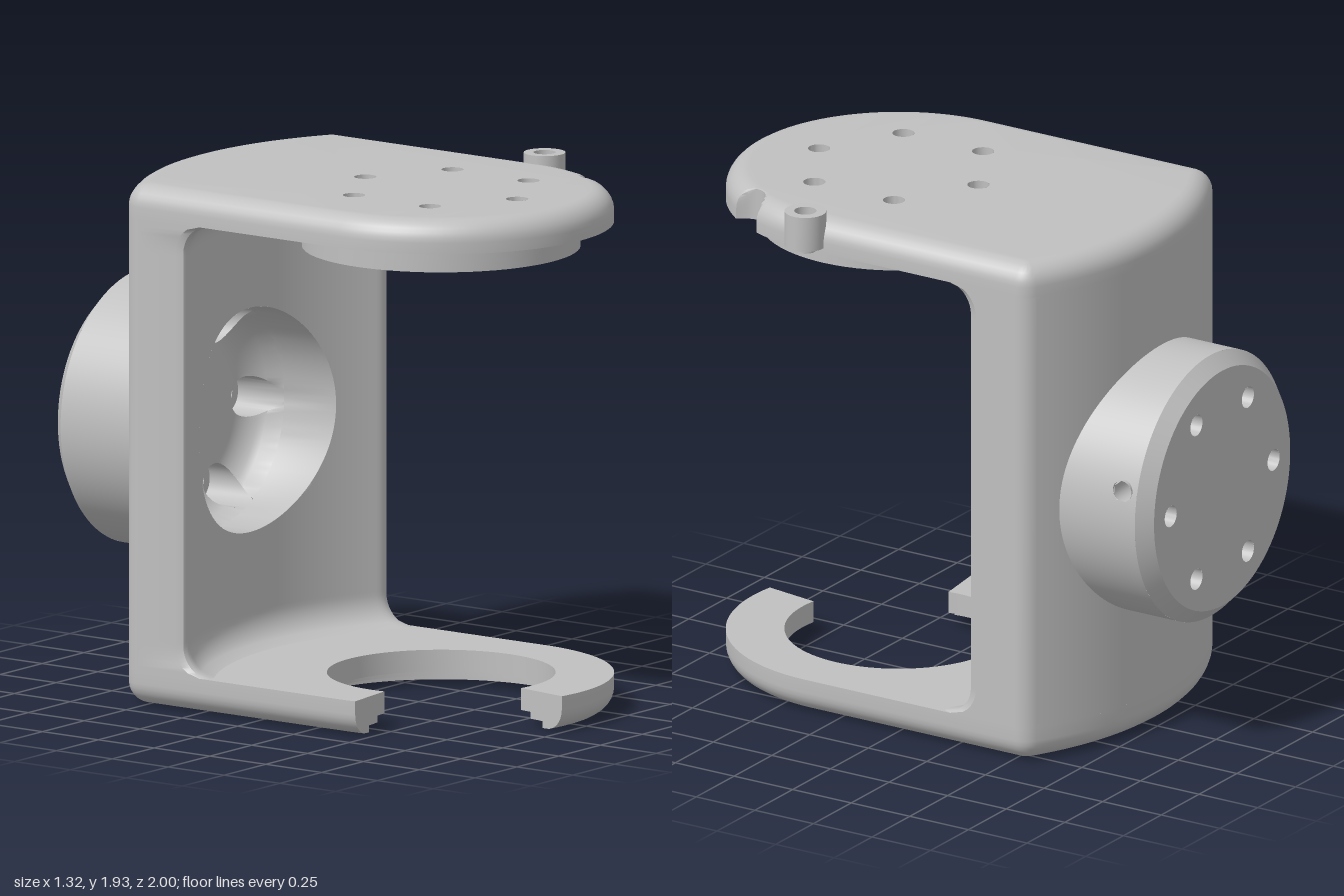
import * as THREE from 'three';
import { mergeGeometries, toCreasedNormals } from 'three/addons/utils/BufferGeometryUtils.js';

const { PI, sin, cos, sqrt, hypot, max, min, abs } = Math;
const HALF = 0.62, BACK_R = 1.125, WALL = 0.27, ROUND = 0.08, FILLET = 0.11, EDGE = 0.06;
const FLOOR_Y = 0.13, CEIL_Y = 1.78, TOP_Y = 1.9;
const BOSS_Y = 0.95, BOSS_R = 0.5, CUP_R = 0.41, CUP_FILLET = 0.13;
const CUP_Z = -1.14, SEAT_Z = -1.22, BOSS_Z = -1.38;
const GAP = [99 * PI / 180, 173 * PI / 180];

// Grid surface: plane(u,v) gives flat coordinates, round holes are cut, lift maps to 3D
function sheet(nu, nv, plane, lift, holes = []) {
  const pos = [], inside = [], index = [];
  for (let j = 0; j <= nv; j++) for (let i = 0; i <= nu; i++) {
    let [a, b] = plane(i / nu, j / nv), hit = 0;
    holes.forEach(([ha, hb, r], k) => {
      const d = hypot(a - ha, b - hb);
      if (d < r) {
        const s = r / (d || 1e-6);
        a = ha + (a - ha) * s; b = hb + (b - hb) * s; hit = k + 1;
      }
    });
    pos.push(...lift(a, b));
    inside.push(hit);
  }
  const tri = (a, b, c) => { if (!(inside[a] && inside[b] && inside[c])) index.push(a, b, c); };
  for (let j = 0; j < nv; j++) for (let i = 0; i < nu; i++) {
    const a = j * (nu + 1) + i, b = a + nu + 1;
    tri(a, a + 1, b + 1);
    tri(a, b + 1, b);
  }
  const g = new THREE.BufferGeometry();
  g.setAttribute('position', new THREE.Float32BufferAttribute(pos, 3));
  g.setIndex(index);
  g.computeVertexNormals();
  return g;
}

// Open skin through levels of { y, pts }
const loft = levels => sheet(levels[0].pts.length - 1, levels.length - 1,
  (u, v) => [Math.round(u * (levels[0].pts.length - 1)), Math.round(v * (levels.length - 1))],
  (i, j) => [levels[j].pts[i][0], levels[j].y, levels[j].pts[i][1]]);

const arc = (cx, cz, r, a, b, n) => Array.from({ length: n + 1 }, (_, k) => {
  const t = a + (b - a) * k / n;
  return [cx + r * cos(t), cz + r * sin(t)];
});

// Curved back with rounded corners, from the left side to the right side
function backEdge(inset) {
  const cx = HALF - ROUND, cz = -sqrt((BACK_R - ROUND) ** 2 - cx * cx), t = Math.atan2(cz, cx);
  return [...arc(cx, cz, ROUND - inset, 0, t, 8), ...arc(0, 0, BACK_R - inset, t, -PI - t, 40),
    ...arc(-cx, cz, ROUND - inset, -PI - t, -PI, 8)];
}
const BACK = backEdge(0), CORNER_Z = BACK[0][1], ARC_X = BACK[8][0];

// Whole plan outline, round at the front
const outline = (inset, e1, e2) => [...arc(0, 0, HALF - inset, e1, 0, 120), ...backEdge(inset),
  ...arc(0, 0, HALF - inset, PI, e2, 48)];

// Round bite in the front edge of the upper plate
const bite = pts => pts.map(([x, z]) => {
  const r = hypot(x, z), t = (Math.atan2(z, x) - 0.525) * HALF;
  if (z < 0 || abs(t) > 0.075) return [x, z];
  const s = min(1, (HALF - sqrt(0.075 ** 2 - t * t)) / r);
  return [x * s, z * s];
});

const circle = (x, y, r) => new THREE.Path().absarc(x, y, r, 0, PI * 2, true);
const sixHoles = (turn = 0) => Array.from({ length: 6 }, (_, k) =>
  [0.34 * cos(turn + k * PI / 3), 0.34 * sin(turn + k * PI / 3)]);

// Flat horizontal face from plan points
function flat(pts, y, holes = []) {
  const s = new THREE.Shape(pts.map(([x, z]) => new THREE.Vector2(x, -z)));
  s.holes = holes.map(([x, z]) => circle(x, -z, 0.04));
  return new THREE.ShapeGeometry(s, 24).rotateX(-PI / 2).translate(0, y, 0);
}

// Front surface of the back wall: hollow, rounded at its sides, blending into both plates
function wallZ(x, y) {
  const e = max(0, FILLET - min(y - FLOOR_Y, CEIL_Y - y)), s = max(0, abs(x) - HALF + EDGE);
  return WALL - sqrt(BACK_R ** 2 - x * x) + FILLET - sqrt(max(0, FILLET ** 2 - e * e))
    - EDGE + sqrt(max(0, EDGE ** 2 - s * s));
}
const cupZ = r => CUP_Z + CUP_FILLET - sqrt(max(0, CUP_FILLET ** 2 - max(0, r - CUP_R + CUP_FILLET) ** 2));

export function createModel() {
  const model = new THREE.Group();
  const grey = new THREE.MeshStandardMaterial({ color: 0xc0c0c0, side: THREE.DoubleSide });
  grey.name = 'grey';
  const body = new THREE.Group();
  body.name = 'bracket';
  body.position.set(-0.04, 0, 0.38);
  model.add(body);
  const part = (name, geos) => {
    const list = geos.map(g => {
      const n = g.index ? g.toNonIndexed() : g;
      n.deleteAttribute('uv');
      return n;
    });
    const m = new THREE.Mesh(toCreasedNormals(mergeGeometries(list), 0.6), grey);
    m.name = name;
    body.add(m);
  };
  const rounding = Array.from({ length: 8 }, (_, k) => {
    const a = k / 7 * PI / 2;
    return { inset: ROUND * (1 - cos(a)), rise: ROUND * sin(a) };
  });

  // Upper plate
  const topHoles = sixHoles(PI / 6);
  const topEdge = i => bite(outline(i, 3 * PI / 4, 3 * PI / 4));
  part('upperPlate', [
    loft([{ y: CEIL_Y, pts: topEdge(0) },
      ...rounding.map(r => ({ y: TOP_Y - ROUND + r.rise, pts: topEdge(r.inset) }))]),
    flat(topEdge(ROUND), TOP_Y, topHoles),
    flat(topEdge(0), CEIL_Y, topHoles),
    ...topHoles.map(([x, z]) => new THREE.CylinderGeometry(0.04, 0.04, 0.21, 24, 1, true).translate(x, 1.795, z)),
  ]);

  // Round pad below the upper plate
  part('mountingPad', [
    flat(arc(0, 0, 0.5, 0, 2 * PI, 72), 1.69, topHoles),
    new THREE.CylinderGeometry(0.5, 0.5, 0.09, 72, 1, true).translate(0, 1.735, 0),
  ]);

  // Lower plate: an open ring with a stepped underside
  const steps = [[0.41, 0.13], [0.41, 0.05], [0.46, 0.05], [0.46, 0.025], [0.52, 0.025], [0.52, 0]]
    .map(p => new THREE.Vector2(...p));
  const lowEdge = [{ inset: 0, y: FLOOR_Y }, ...rounding.map(r => ({ inset: r.inset, y: ROUND - r.rise }))];
  const ringFace = (inset, r, y) => flat([...outline(inset, ...GAP),
    ...arc(0, 0, r, GAP[1] - 2 * PI, GAP[0], 90)], y);
  const endShape = new THREE.Shape([...lowEdge.map(e => new THREE.Vector2(HALF - e.inset, e.y)),
    ...[...steps].reverse()]);
  part('lowerPlate', [
    loft(lowEdge.map(e => ({ y: e.y, pts: outline(e.inset, ...GAP) }))),
    ringFace(0, 0.41, FLOOR_Y),
    ringFace(ROUND, 0.52, 0),
    new THREE.LatheGeometry(steps, 90, PI / 2 - GAP[0], 2 * PI - (GAP[1] - GAP[0])),
    ...GAP.map(a => new THREE.ShapeGeometry(endShape).rotateY(-a)),
  ]);

  // Back wall with a round opening and side faces
  const wallY = v => FLOOR_Y + (CEIL_Y - FLOOR_Y) * v;
  part('backWall', [
    ...[BACK.slice(0, 9), BACK.slice(-9)].map(pts => loft([FLOOR_Y, CEIL_Y].map(y => ({ y, pts })))),
    sheet(48, 64, (u, v) => [ARC_X * (1 - 2 * u), wallY(v)], (x, y) => [x, y, -sqrt(BACK_R ** 2 - x * x)],
      [[0, BOSS_Y, CUP_R + 0.04]]),
    sheet(100, 110, (u, v) => [HALF * (2 * u - 1), wallY(v)], (x, y) => [x, y, wallZ(x, y)],
      [[0, BOSS_Y, CUP_R]]),
    ...[1, -1].map(s => sheet(1, 110, (u, v) => [u, wallY(v)],
      (u, y) => [s * HALF, y, CORNER_Z + u * (wallZ(HALF, y) - CORNER_Z)])),
  ]);

  // Round boss on the back, with a small hole in its left side
  const around = (a, r, z) => [r * cos(a), BOSS_Y + r * sin(a), z];
  const bores = sixHoles();
  const face = new THREE.Shape().absarc(0, 0, 0.45, 0, 2 * PI);
  face.holes = bores.map(([x, y]) => circle(x, y, 0.04));
  part('backBoss', [
    sheet(120, 20, (u, v) => [(u - 0.5) * 2 * PI * BOSS_R, -0.98 - 0.35 * v],
      (a, z) => around(a / BOSS_R, BOSS_R, z), [[0.12, -1.27, 0.04]]),
    sheet(96, 1, (u, v) => [u * 2 * PI, v], (a, v) => around(a, BOSS_R - 0.05 * v, BOSS_Z + 0.05 * (1 - v))),
    new THREE.ShapeGeometry(face, 48).rotateY(PI).translate(0, BOSS_Y, BOSS_Z),
    new THREE.CylinderGeometry(0.04, 0.04, 0.1, 20, 1, true).rotateZ(PI / 2).translate(0.44, BOSS_Y + 0.12, -1.27),
  ]);

  // Hollow in the boss with a rounded floor and counterbored holes
  part('bossRecess', [
    sheet(96, 1, (u, v) => [u * 2 * PI, v], (a, v) => {
      const [x, y] = around(a, CUP_R, 0), low = CUP_Z + CUP_FILLET;
      return [x, y, low + v * (wallZ(x, y) - low)];
    }),
    sheet(144, 24, (u, v) => [CUP_R * v * cos(u * 2 * PI), CUP_R * v * sin(u * 2 * PI)], (x, y) => {
      const r = hypot(x, y), s = min(1, CUP_R / (r || 1));
      return [x * s, BOSS_Y + y * s, cupZ(min(r, CUP_R))];
    }, bores.map(([x, y]) => [x, y, 0.075])),
    ...bores.flatMap(([x, y]) => [
      sheet(32, 1, (u, v) => [u * 2 * PI, v], (a, v) => {
        const px = x + 0.075 * cos(a), py = y + 0.075 * sin(a);
        return [px, BOSS_Y + py, SEAT_Z + v * (cupZ(min(CUP_R, hypot(px, py))) - SEAT_Z)];
      }),
      new THREE.RingGeometry(0.04, 0.075, 32).translate(x, BOSS_Y + y, SEAT_Z),
      new THREE.CylinderGeometry(0.04, 0.04, SEAT_Z - BOSS_Z, 24, 1, true).rotateX(PI / 2)
        .translate(x, BOSS_Y + y, (SEAT_Z + BOSS_Z) / 2),
    ]),
  ]);

  // Small hollow peg on the left edge of the upper plate
  const pegProfile = [[0, 1.86], [0.04, 1.86], [0.04, 1.93], [0.075, 1.93], [0.075, 1.8], [0.04, 1.8], [0.04, 1.78], [0, 1.78]];
  part('edgePeg', [
    new THREE.LatheGeometry(pegProfile.map(p => new THREE.Vector2(...p)), 32).translate(0.625, 0, -0.005),
  ]);

  return model;
}
